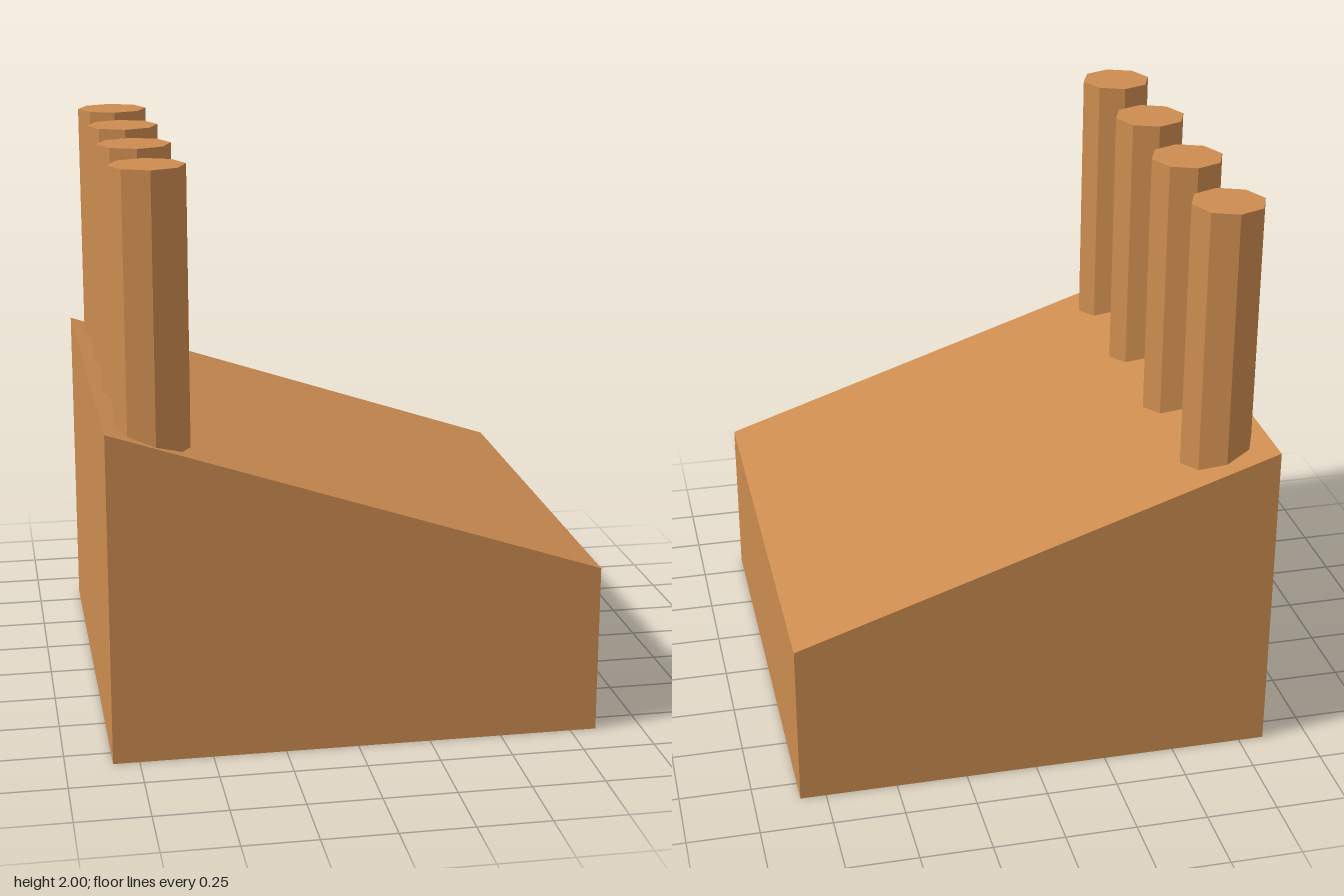
import * as THREE from 'three';

export function createModel() {
  const group = new THREE.Group();
  const material = new THREE.MeshStandardMaterial({ color: 0xcc8c50, flatShading: true });
  const half = 0.84;

  // Body with a roof sloping down towards +x
  const profile = new THREE.Shape([
    new THREE.Vector2(-half, 0),
    new THREE.Vector2(half, 0),
    new THREE.Vector2(half, 0.592),
    new THREE.Vector2(-half, 1.15),
  ]);
  const bodyGeometry = new THREE.ExtrudeGeometry(profile, { depth: half * 2, bevelEnabled: false });
  bodyGeometry.translate(0, 0, -half);
  const body = new THREE.Mesh(bodyGeometry, material);
  body.name = 'slopedBody';
  group.add(body);

  // Row of octagonal chimneys along the high edge, sunk into the roof
  const bottom = 0.95, top = 2;
  const chimneyGeometry = new THREE.CylinderGeometry(0.127, 0.127, top - bottom, 8);
  for (let i = 0; i < 4; i++) {
    const chimney = new THREE.Mesh(chimneyGeometry, material);
    chimney.name = `chimney${i + 1}`;
    chimney.position.set(-0.672, (top + bottom) / 2, -0.648 + i * 0.448);
    group.add(chimney);
  }
  return group;
}
